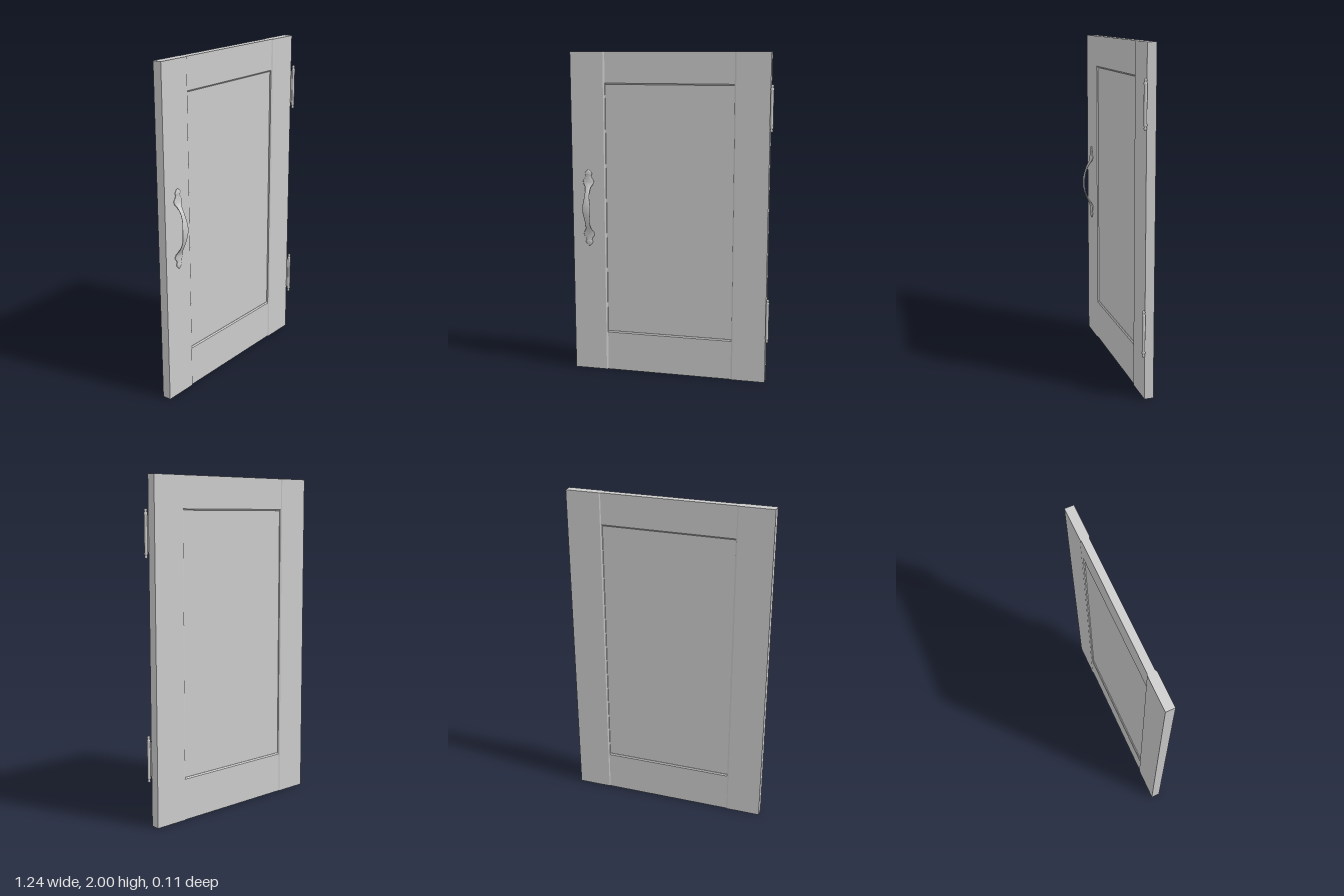
import * as THREE from 'three';

const material = new THREE.MeshStandardMaterial({ color: 0xcccccc });

function add(parent, name, geometry) {
  const mesh = new THREE.Mesh(geometry, material);
  mesh.name = name;
  parent.add(mesh);
  return mesh;
}

// Extrude a closed outline of [x, y] points along z
function prism(points, depth) {
  const shape = new THREE.Shape(points.map(([x, y]) => new THREE.Vector2(x, y)));
  return new THREE.ExtrudeGeometry(shape, { depth, bevelEnabled: false });
}

// Board outline from outer edge a to inner edge b, with the inner edge chamfered
function boardOutline(a, b, back, front, chamfer, drop) {
  const c = b + Math.sign(a - b) * chamfer;
  return [[a, back], [c, back], [b, back + drop], [b, front - drop], [c, front], [a, front]];
}

// Upright board, full height
function stile(parent, name, outer, inner) {
  const outline = boardOutline(outer, inner, -0.057, -0.003, 0.01, 0.006);
  const g = prism(outline.map(([x, z]) => [x, -z]), 2);
  g.rotateX(-Math.PI / 2);
  add(parent, name, g);
}

// Cross board between the stiles
function rail(parent, name, outer, inner) {
  const outline = boardOutline(outer, inner, -0.053, -0.009, 0.008, 0.006);
  const g = prism(outline.map(([y, z]) => [-z, y]), 0.81);
  g.rotateY(Math.PI / 2);
  g.translate(-0.415, 0, 0);
  add(parent, name, g);
}

// Curved strap handle lofted from elliptical sections: [y, half width, centre z, half thickness]
function handleGeometry() {
  const half = [
    [0.238, 0.004, -0.001, 0.003], [0.23, 0.014, 0, 0.005], [0.214, 0.023, 0, 0.007],
    [0.2, 0.018, 0, 0.006], [0.19, 0.021, 0, 0.006], [0.17, 0.034, 0, 0.007],
    [0.152, 0.031, 0.003, 0.007], [0.132, 0.019, 0.013, 0.006], [0.1, 0.015, 0.031, 0.005],
    [0.06, 0.018, 0.045, 0.004], [0.025, 0.024, 0.051, 0.004],
  ];
  const knots = [...half, [0, 0.025, 0.052, 0.004],
    ...half.slice().reverse().map(([y, ...rest]) => [-y, ...rest])];
  const path = new THREE.CatmullRomCurve3(knots.map(k => new THREE.Vector3(0, k[0], k[2])));
  const size = new THREE.CatmullRomCurve3(knots.map(k => new THREE.Vector3(k[1], k[3], k[0])));
  const rows = 88, sides = 16, pos = [], index = [];
  for (let i = 0; i <= rows; i++) {
    const p = path.getPoint(i / rows), s = size.getPoint(i / rows), t = path.getTangent(i / rows);
    for (let j = 0; j < sides; j++) {
      const a = (j / sides) * Math.PI * 2;
      const d = s.y * Math.sin(a);
      // Offset perpendicular to the path within the yz plane
      pos.push(s.x * Math.cos(a), p.y + d * t.z, p.z - d * t.y);
      if (i < rows) {
        const k = (j + 1) % sides, r = i * sides, q = r + sides;
        index.push(r + j, r + k, q + j, r + k, q + k, q + j);
      }
    }
  }
  // End caps
  for (let j = 1; j < sides - 1; j++) {
    const r = rows * sides;
    index.push(0, j + 1, j, r, r + j, r + j + 1);
  }
  const g = new THREE.BufferGeometry();
  g.setAttribute('position', new THREE.Float32BufferAttribute(pos, 3));
  g.setIndex(index);
  g.computeVertexNormals();
  return g;
}

// Hinge barrel with a collar and rounded finial at each end
function hingeGeometry() {
  const end = [[0, 0.138], [0.006, 0.136], [0.009, 0.13], [0.008, 0.122], [0.006, 0.118],
    [0.0105, 0.114], [0.0105, 0.106], [0.0095, 0.104]];
  const profile = [...end.map(([r, y]) => [r, -y]), ...end.slice().reverse()];
  return new THREE.LatheGeometry(profile.map(([r, y]) => new THREE.Vector2(r, y)), 16);
}

export function createModel() {
  const model = new THREE.Group();
  model.name = 'cabinetDoor';

  // Framed door
  const door = new THREE.Group();
  door.name = 'door';
  model.add(door);
  stile(door, 'rightStile', -0.62, -0.405);
  stile(door, 'leftStile', 0.597, 0.385);
  rail(door, 'topRail', 2, 1.805);
  rail(door, 'bottomRail', 0, 0.255);

  // Recessed centre panel
  const panel = add(door, 'centrePanel', new THREE.BoxGeometry(0.82, 1.58, 0.026));
  panel.position.set(-0.01, 1.03, -0.031);

  // Pull handle
  const handle = add(model, 'pullHandle', handleGeometry());
  handle.position.set(-0.515, 1.047, 0);

  // Hinges
  const hinge = hingeGeometry();
  for (const [name, y] of [['upperHinge', 1.677], ['lowerHinge', 0.398]]) {
    const group = new THREE.Group();
    group.name = name;
    group.position.set(0.607, y, 0.008);
    add(group, 'hingeBarrel', hinge);
    const leaf = add(group, 'hingeLeaf', new THREE.BoxGeometry(0.008, 0.2, 0.012));
    leaf.position.set(-0.008, 0, -0.007);
    model.add(group);
  }
  return model;
}

// Wind every outline the same way so all faces point outward: ExtrudeGeometry corrects the order itself.
